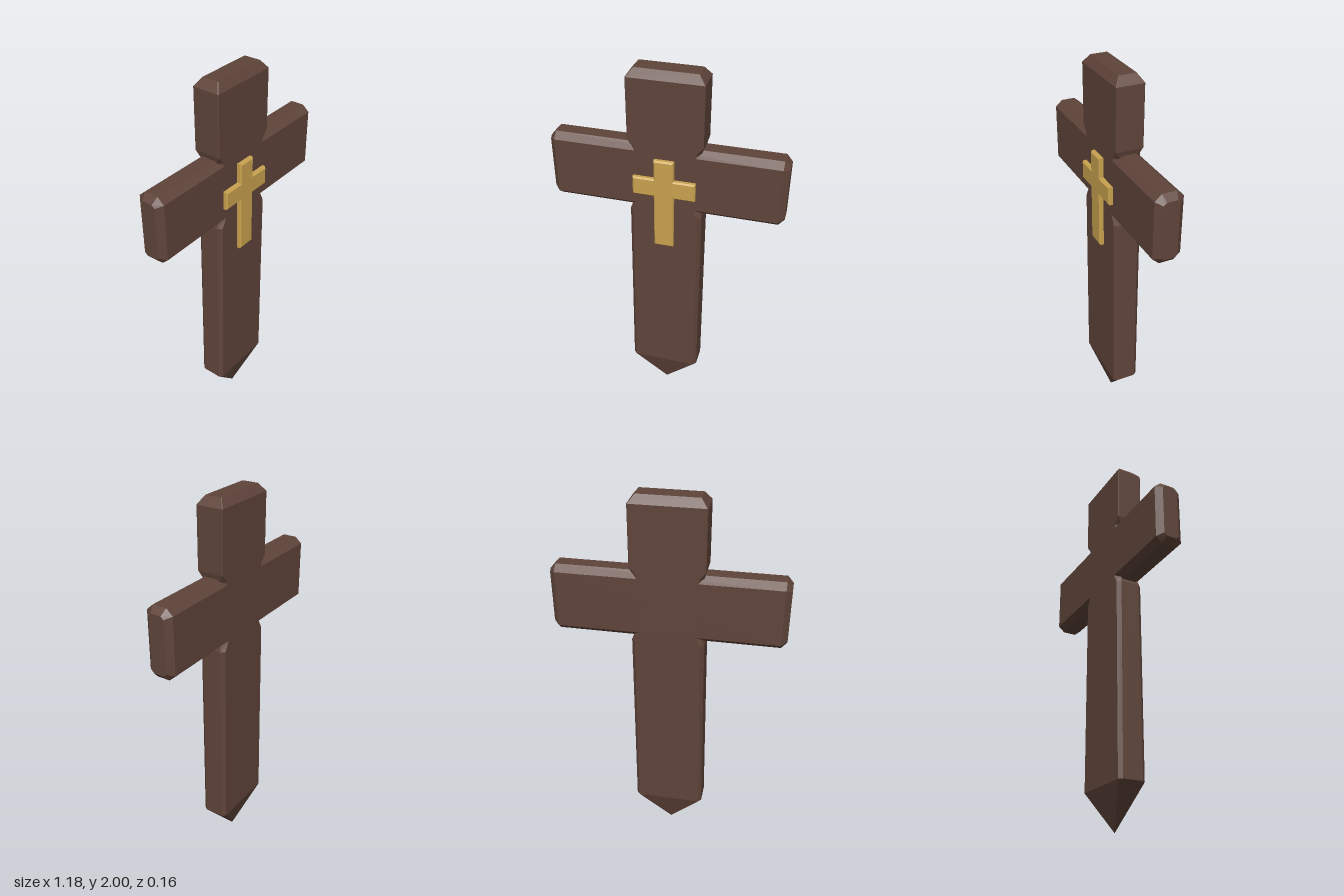
import * as THREE from 'three';

// Eight corners of a chamfered rectangle, counter-clockwise in (a, b)
function ring({ a, b, ca = 0, cb = 0, ma = 0, mb = 0 }) {
  return [
    [a, -b + cb], [a, b - cb], [a - ca, b], [-a + ca, b],
    [-a, b - cb], [-a, -b + cb], [-a + ca, -b], [a - ca, -b],
  ].map(([p, q]) => [p + ma, q + mb]);
}

// Flat-faced solid through chamfered sections; place(a, b, t) maps to xyz
function loft(sections, place) {
  const rings = sections.map((s) => ring(s).map(([a, b]) => place(a, b, s.t)));
  const pos = [];
  const tri = (...pts) => pts.forEach((p) => pos.push(...p));
  for (let k = 0; k < rings.length - 1; k++) {
    for (let i = 0; i < 8; i++) {
      const j = (i + 1) % 8;
      tri(rings[k][i], rings[k][j], rings[k + 1][j]);
      tri(rings[k][i], rings[k + 1][j], rings[k + 1][i]);
    }
  }
  const first = rings[0], last = rings[rings.length - 1];
  for (let i = 1; i < 7; i++) {
    tri(first[0], first[i + 1], first[i]);
    tri(last[0], last[i], last[i + 1]);
  }
  const geo = new THREE.BufferGeometry();
  geo.setAttribute('position', new THREE.Float32BufferAttribute(pos, 3));
  geo.computeVertexNormals();
  return geo;
}

export function createModel() {
  const wood = new THREE.MeshStandardMaterial({ color: 0x5f443a });
  wood.name = 'dark brown wood';
  const gold = new THREE.MeshStandardMaterial({ color: 0xc9a24e });
  gold.name = 'gold';

  const group = new THREE.Group();
  const add = (name, geo, mat) => {
    const mesh = new THREE.Mesh(geo, mat);
    mesh.name = name;
    group.add(mesh);
    return mesh;
  };
  const mid = -0.014; // middle of the wood's thickness
  const D = 0.071;    // half thickness

  // Upright: pointed foot, chamfered shaft, plain head with bevelled top
  add('upright', loft([
    { t: 0, a: 0, b: 0, ma: mid + 0.004, mb: -0.008 },
    { t: 0.212, a: D, b: 0.188, ca: 0.018, cb: 0.016, ma: mid, mb: -0.006 },
    { t: 1.25, a: D, b: 0.184, ca: 0.02, cb: 0.018, ma: mid },
    { t: 1.3, a: D, b: 0.165, ca: 0.025, cb: 0.025, ma: mid },
    { t: 1.61, a: D, b: 0.175, ca: 0.025, cb: 0.025, ma: mid },
    { t: 1.65, a: D, b: 0.186, ca: 0.003, cb: 0.003, ma: mid },
    { t: 1.96, a: D, b: 0.186, ca: 0.003, cb: 0.003, ma: mid },
    { t: 2, a: 0.044, b: 0.153, ca: 0.002, cb: 0.002, ma: mid },
  ], (z, x, y) => [x, y, z]), wood);

  // Crossbar with chamfered edges and ends
  const end = { a: 0.147, b: 0.041, ca: 0.014, cb: 0.014, ma: 1.447, mb: mid };
  const bar = { a: 0.177, b: D, ca: 0.031, cb: 0.035, ma: 1.447, mb: mid };
  add('crossbar', loft([
    { ...end, t: -0.589 }, { ...bar, t: -0.56 },
    { ...bar, t: 0.56 }, { ...end, t: 0.589 },
  ], (y, z, x) => [x, y, z]), wood);

  // Small raised gold cross on the front
  const e = 0.007;
  const w = 0.05 - e, arm = 0.157 - e;
  const outline = [
    [-w, 1.07 + e], [w, 1.07 + e], [w, 1.363 + e], [arm, 1.363 + e],
    [arm, 1.46 - e], [w, 1.46 - e], [w, 1.564 - e], [-w, 1.564 - e],
    [-w, 1.46 - e], [-arm, 1.46 - e], [-arm, 1.363 + e], [-w, 1.363 + e],
  ].map(([x, y]) => new THREE.Vector2(x, y));
  const ornament = add('goldCross', new THREE.ExtrudeGeometry(new THREE.Shape(outline), {
    depth: 0.024, bevelEnabled: true, bevelSegments: 1, bevelSize: e, bevelThickness: e,
  }), gold);
  ornament.position.set(-0.002, 0, 0.049);

  return group;
}
